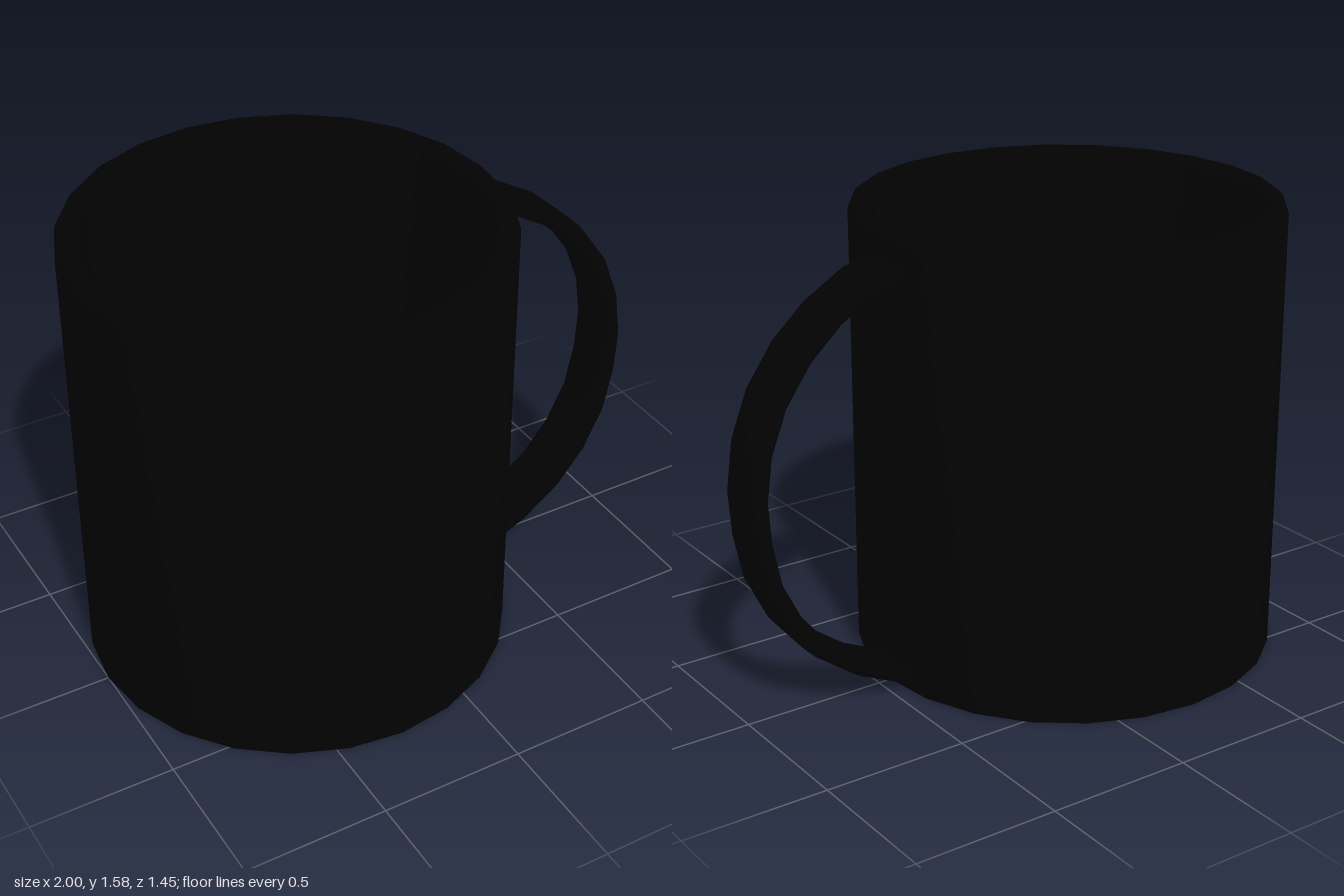
import * as THREE from 'three';
import { toCreasedNormals } from 'three/addons/utils/BufferGeometryUtils.js';

const CENTER_X = -0.273, RADIUS = 0.727, HEIGHT = 1.58;
const WALL = 0.07, FLOOR = 0.07, SIDES = 24;

// Cup: one closed profile running under the base, up the outside, over the rim and down inside
function cupGeometry() {
  const p = [[0, 0], [RADIUS, 0]];
  const r = WALL / 2;
  for (let i = 0; i <= 6; i++) {
    const a = (i / 6) * Math.PI;
    p.push([RADIUS - r + r * Math.cos(a), HEIGHT - r + r * Math.sin(a)]);
  }
  p.push([RADIUS - WALL, FLOOR], [0, FLOOR]);
  const lathe = new THREE.LatheGeometry(p.map(([x, y]) => new THREE.Vector2(x, y)), SIDES);
  return toCreasedNormals(lathe, 0.6);
}

// Handle: a flat strap with rounded edges swept along a faceted arc
function handleGeometry() {
  const path = [
    [0.41, 1.455], [0.535, 1.428], [0.675, 1.345], [0.79, 1.24], [0.885, 1.105],
    [0.943, 0.955], [0.965, 0.795], [0.955, 0.645], [0.922, 0.49], [0.85, 0.345],
    [0.75, 0.225], [0.61, 0.123], [0.42, 0.035],
  ].map(([x, y]) => new THREE.Vector2(x, y));
  const ring = 16, halfThick = 0.034, halfWide = 0.1;
  const soften = (v) => Math.sign(v) * Math.pow(Math.abs(v), 0.6);
  const pos = [], index = [];
  path.forEach((p, i) => {
    const before = path[Math.max(i - 1, 0)], after = path[Math.min(i + 1, path.length - 1)];
    const t = after.clone().sub(before).normalize();
    for (let j = 0; j < ring; j++) {
      const a = (j / ring) * Math.PI * 2;
      const n = halfThick * soften(Math.cos(a));
      pos.push(p.x - t.y * n, p.y + t.x * n, halfWide * soften(Math.sin(a)));
      if (i === path.length - 1) continue;
      const k = (j + 1) % ring, r0 = i * ring, r1 = r0 + ring;
      index.push(r0 + j, r0 + k, r1 + j, r0 + k, r1 + k, r1 + j);
    }
  });
  const g = new THREE.BufferGeometry();
  g.setAttribute('position', new THREE.Float32BufferAttribute(pos, 3));
  g.setIndex(index);
  return toCreasedNormals(g, 0.8);
}

export function createModel() {
  const group = new THREE.Group();
  group.name = 'mug';
  const black = new THREE.MeshStandardMaterial({ color: 0x020202 });

  const cup = new THREE.Mesh(cupGeometry(), black);
  cup.name = 'cup';
  cup.position.x = CENTER_X;

  const handle = new THREE.Mesh(handleGeometry(), black);
  handle.name = 'handle';

  group.add(cup, handle);
  return group;
}
